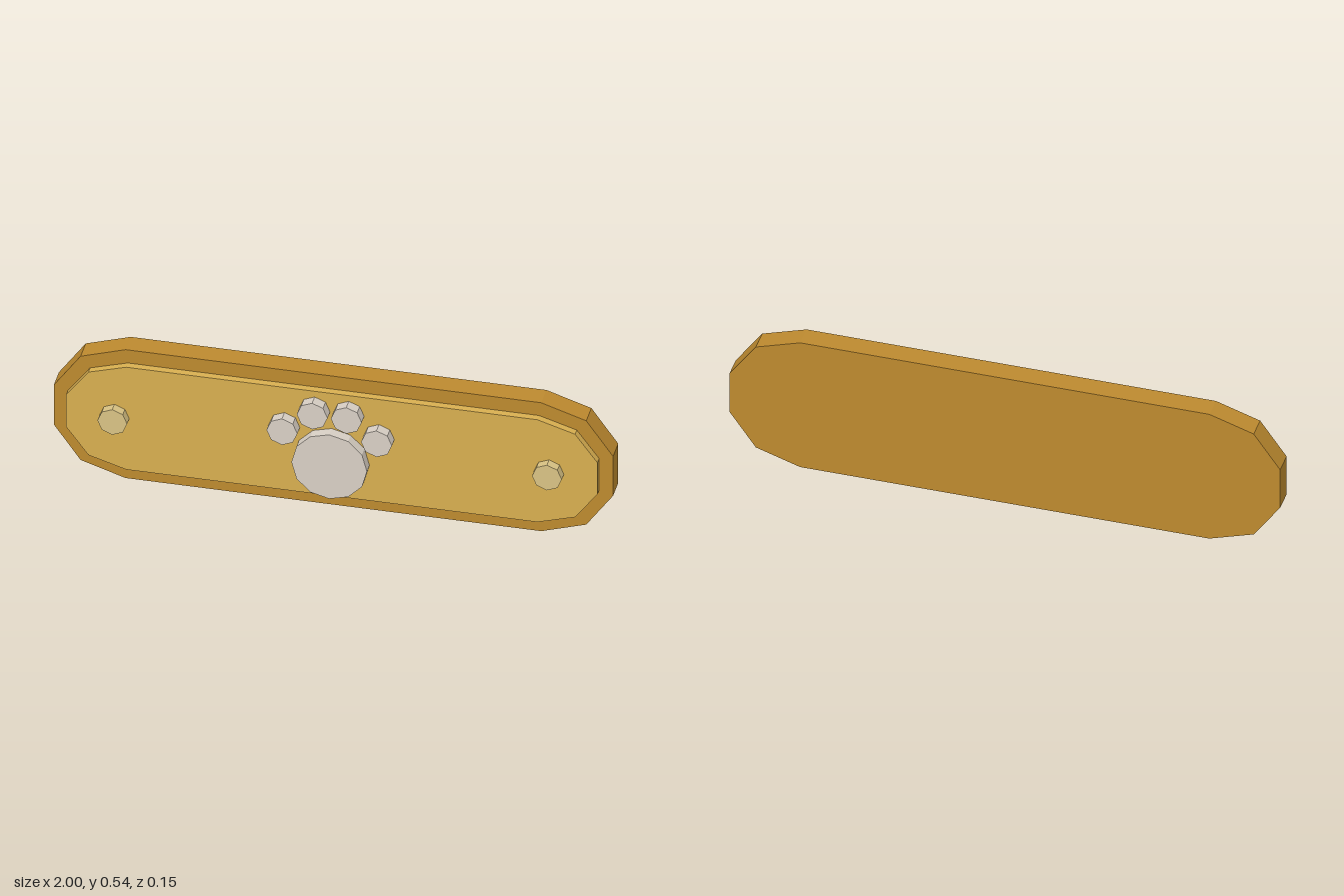
import * as THREE from 'three';

const material = (name, color) => {
  const m = new THREE.MeshStandardMaterial({ color });
  m.name = name;
  m.flatShading = true;
  return m;
};

export function createModel() {
  const group = new THREE.Group();
  const bronze = material('bronze', 0xbd8a2f);
  const brass = material('brass', 0xd8af50);
  const silver = material('silver', 0xd9d0c5);
  const paleBrass = material('paleBrass', 0xd9c384);

  const midY = 0.271;

  function add(name, geometry, mat) {
    const mesh = new THREE.Mesh(geometry, mat);
    mesh.name = name;
    group.add(mesh);
    return mesh;
  }

  // Plate with faceted ends, from one quarter outline mirrored four ways
  function plate(name, quarter, z0, z1, mat) {
    const reversed = [...quarter].reverse();
    const outline = [
      ...quarter,
      ...reversed.map(([x, y]) => [-x, y]),
      ...quarter.map(([x, y]) => [-x, -y]),
      ...reversed.map(([x, y]) => [x, -y]),
    ].map(([x, y]) => new THREE.Vector2(x, y + midY));
    const geometry = new THREE.ExtrudeGeometry(new THREE.Shape(outline), {
      depth: z1 - z0, bevelEnabled: false,
    });
    geometry.translate(0, 0, z0);
    add(name, geometry, mat);
  }

  // Short faceted disc facing the front
  function disc(name, x, y, radius, sides, z0, z1, mat) {
    const geometry = new THREE.CylinderGeometry(radius, radius, z1 - z0, sides);
    geometry.rotateX(Math.PI / 2);
    add(name, geometry, mat).position.set(x, y, (z0 + z1) / 2);
  }

  // Plates
  plate('backPlate', [[1, 0.083], [0.904, 0.219], [0.743, 0.271]], -0.074, 0.007, bronze);
  plate('facePlate', [[0.95, 0.067], [0.87, 0.175], [0.735, 0.216]], 0.007, 0.034, brass);

  // Paw emblem
  disc('pawPad', 0, 0.204, 0.135, 12, 0.034, 0.074, silver);
  for (const side of [-1, 1]) {
    disc('innerToe', side * 0.061, 0.408, 0.055, 8, 0.034, 0.074, silver);
    disc('outerToe', side * 0.169, 0.326, 0.055, 8, 0.034, 0.074, silver);
    // Mounting studs
    disc('stud', side * 0.777, midY, 0.053, 8, 0.034, 0.068, paleBrass);
  }

  return group;
}
